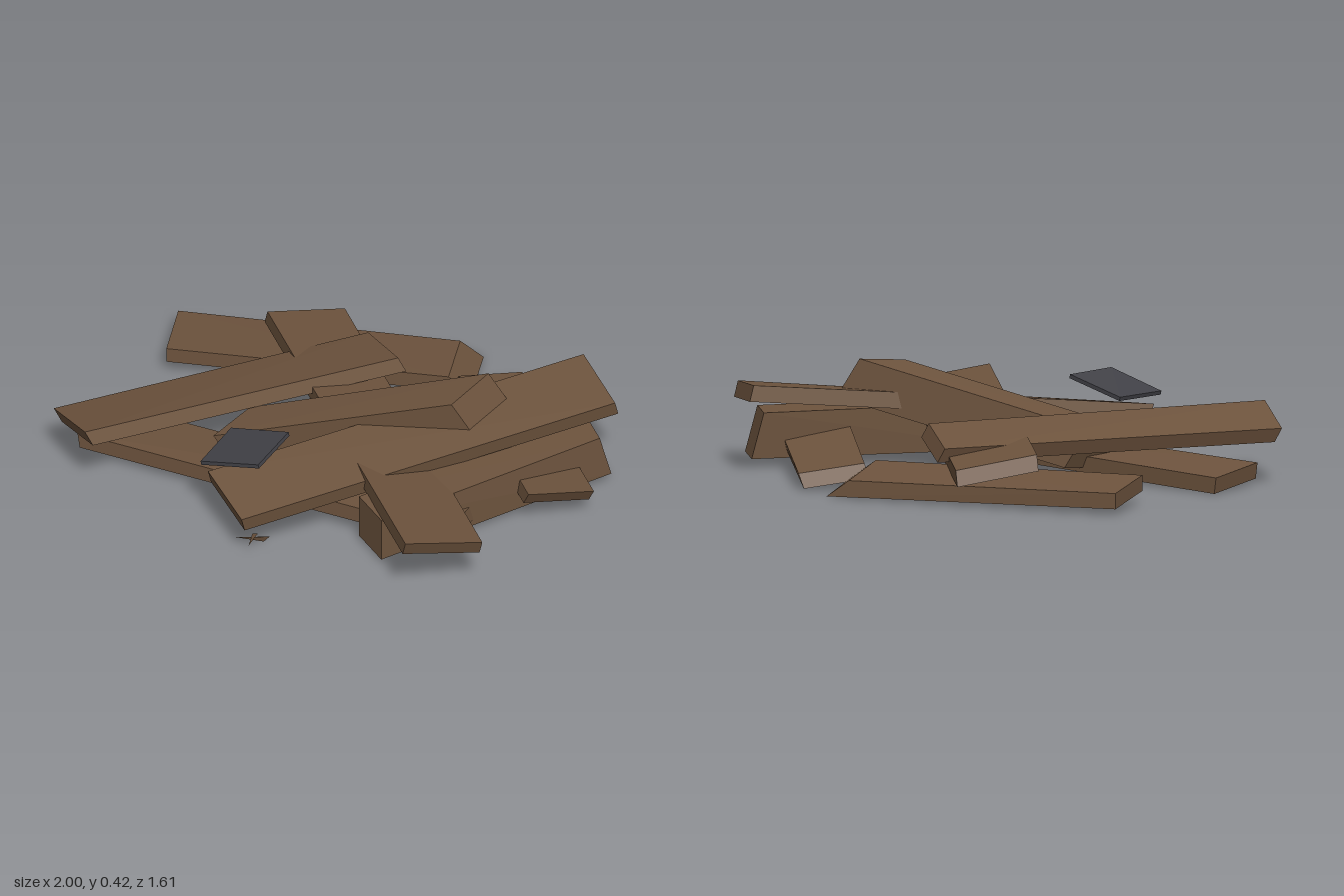
import * as THREE from 'three';
import { ConvexGeometry } from 'three/addons/geometries/ConvexGeometry.js';

export function createModel() {
  const group = new THREE.Group();
  const wood = new THREE.MeshStandardMaterial({ color: 0x6e543e });
  wood.name = 'brown wood';
  const slate = new THREE.MeshStandardMaterial({ color: 0x424248 });
  slate.name = 'dark slate';

  // A slab from four top corners; the thickness vector may lean differently at each end.
  // Corners run start, start, end, end.
  function slab(name, top, startDrop, endDrop = startDrop, material = wood) {
    const points = top.map(p => new THREE.Vector3(...p));
    const bottom = points.map((p, i) => p.clone().add(new THREE.Vector3(...(i < 2 ? startDrop : endDrop))));
    const mesh = new THREE.Mesh(new ConvexGeometry([...points, ...bottom]), material);
    mesh.name = name;
    group.add(mesh);
  }

  // Lowest layer of fallen planks
  slab('backPlank',
    [[-1, 0.088, -0.3], [-0.87, 0.115, -0.04], [0.1, 0.11, -0.51], [-0.03, 0.075, -0.77]],
    [0, -0.06, 0], [0.08, -0.065, -0.04]);
  slab('lowerFrontPlank',
    [[-0.89, 0.067, 0.32], [-0.84, 0.092, 0.58], [0.7, 0.125, 0.34], [0.655, 0.115, 0.09]],
    [0.01, -0.062, 0]);
  slab('backRightPlank',
    [[0.27, 0.065, -0.75], [0.12, 0.1, -0.55], [0.84, 0.165, 0.01], [1, 0.132, -0.19]],
    [-0.03, -0.055, 0], [-0.03, -0.055, -0.01]);

  // Thick beam lying across the right side
  slab('rightBeam',
    [[0.355, 0.2, 0.43], [0.515, 0.2, 0.51], [0.885, 0.215, -0.39], [0.73, 0.215, -0.5]],
    [0, -0.18, 0], [0.025, -0.175, -0.04]);

  // Upper planks leaning over the others
  slab('diagonalPlank',
    [[-0.45, 0.145, -0.61], [-0.63, 0.2, -0.36], [0.74, 0.275, 0.67], [0.925, 0.22, 0.43]],
    [-0.02, -0.06, -0.01]);
  slab('leftPlank',
    [[-0.9, 0.222, 0.65], [-0.66, 0.287, 0.785], [-0.015, 0.245, -0.345], [-0.25, 0.19, -0.48]],
    [0.03, -0.055, -0.01]);
  slab('longRightPlank',
    [[-0.18, 0.23, 0.66], [0.075, 0.19, 0.8], [0.885, 0.32, -0.49], [0.625, 0.348, -0.65]],
    [0, -0.06, -0.02]);

  // Thick beam propped up in the middle
  slab('raisedBeam',
    [[-0.32, 0.2, 0.19], [-0.34, 0.18, 0.4], [0.455, 0.4, -0.03], [0.47, 0.425, -0.25]],
    [0.075, -0.15, -0.05]);

  // Thin tile resting on top
  slab('slateTile',
    [[-0.23, 0.285, 0.44], [-0.2, 0.28, 0.68], [0.045, 0.345, 0.65], [0.015, 0.347, 0.41]],
    [0.004, -0.015, 0], [0.004, -0.015, 0], slate);

  // Small splinters under the front end
  for (const [tip, base] of [[[0.1, 0.075, 0.79], [0.04, 0.045, 0.68]], [[0.02, 0.065, 0.76], [0.08, 0.035, 0.66]]]) {
    const a = new THREE.Vector3(...tip), b = new THREE.Vector3(...base);
    const splinter = new THREE.Mesh(new ConvexGeometry([
      a, b, b.clone().add(new THREE.Vector3(0.025, 0.01, 0)), b.clone().add(new THREE.Vector3(0.005, -0.015, 0.01)),
    ]), wood);
    splinter.name = 'splinter';
    group.add(splinter);
  }
  return group;
}
